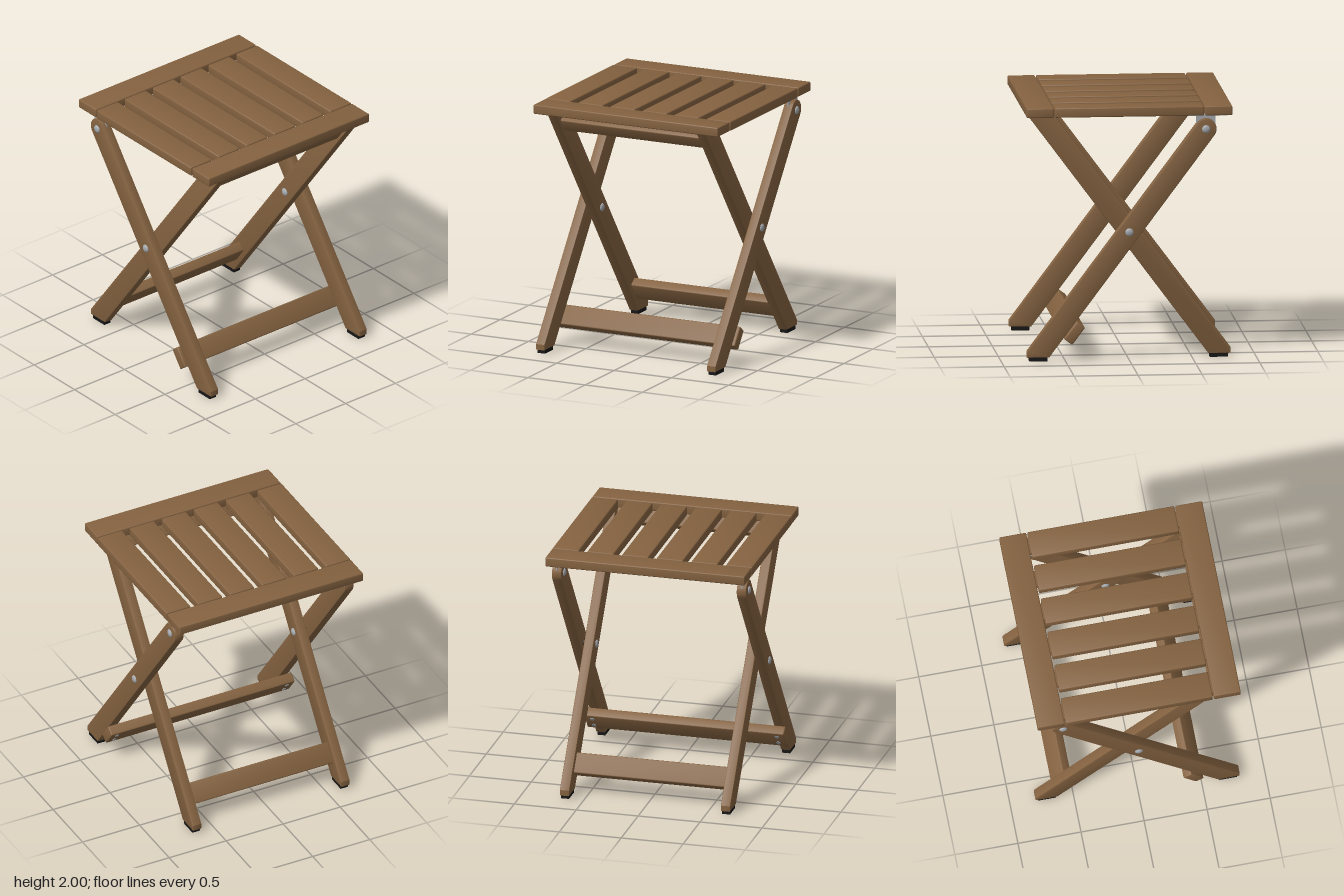
import * as THREE from 'three';
import { toCreasedNormals } from 'three/addons/utils/BufferGeometryUtils.js';
import { RoundedBoxGeometry } from 'three/addons/geometries/RoundedBoxGeometry.js';

const mat = (name, color) => {
  const m = new THREE.MeshStandardMaterial({ color });
  m.name = name;
  return m;
};

export function createModel() {
  const wood = mat('wood', 0x846240);
  const steel = mat('steel', 0xa4a9ae);
  const black = mat('black rubber', 0x161616);
  const model = new THREE.Group();
  model.name = 'foldingTable';

  const add = (name, geo, material, pos = [0, 0, 0], parent = model) => {
    const mesh = new THREE.Mesh(geo, material);
    mesh.name = name;
    mesh.position.set(...pos);
    parent.add(mesh);
    return mesh;
  };
  const board = (w, h, d) => toCreasedNormals(new RoundedBoxGeometry(w, h, d, 2, 0.009), 0.5);
  // Cylinder lying along x
  const rod = (r, len, sides = 20) => new THREE.CylinderGeometry(r, r, len, sides).rotateZ(Math.PI / 2);

  // Tabletop: an end slat at front and back, six slats between
  const topY = 1.9625, topH = 0.075;
  for (const s of [-1, 1]) {
    add(s > 0 ? 'frontSlat' : 'backSlat', board(1.61, topH, 0.212), wood, [0, topY, s * 0.698]);
  }
  for (let i = 0; i < 6; i++) {
    const x = -0.7 + i * 0.28;
    add('slat', board(0.212, topH, 1.164), wood, [x, topY, 0]);
    for (const s of [-1, 1]) add('slatTenon', new THREE.BoxGeometry(0.13, 0.04, 0.04), wood, [x, topY, s * 0.587]);
  }

  // Leg outlines, drawn as (z, y) and extruded along x
  const tilt = 0.64, bevel = 0.008, legW = 0.078;
  const legGeometry = (shape) => {
    const depth = legW - 2 * bevel;
    const g = new THREE.ExtrudeGeometry(shape, {
      depth, bevelSize: bevel, bevelThickness: bevel, bevelOffset: -bevel, bevelSegments: 2, curveSegments: 16,
    });
    return toCreasedNormals(g.translate(0, 0, -depth / 2).rotateY(-Math.PI / 2), 0.5);
  };
  const hinge = [1.815, -0.6], r = 0.083;
  const outer = new THREE.Shape();
  outer.moveTo(0.627, 0.03);
  outer.lineTo(0.8, 0.03);
  outer.lineTo(0.8, 0.075);
  outer.absarc(hinge[1], hinge[0], r, tilt, tilt + Math.PI, false);
  outer.closePath();
  const inner = new THREE.Shape([
    [-0.8, 0.03], [-0.627, 0.03], [0.785, 1.925], [0.579, 1.925], [-0.8, 0.075],
  ].map(([z, y]) => new THREE.Vector2(z, y)));
  const outerGeo = legGeometry(outer), innerGeo = legGeometry(inner);

  // Domed bolt head pointing along +x or -x
  const boltHead = (name, x, y, z, dir) => {
    const g = new THREE.SphereGeometry(0.032, 20, 6, 0, Math.PI * 2, 0, Math.PI / 2);
    g.scale(1, 0.5, 1).rotateZ(-dir * Math.PI / 2);
    add(name, g, steel, [x, y, z]);
  };

  const outerX = 0.746, innerX = 0.65, half = legW / 2;
  for (const s of [-1, 1]) {
    add('outerLeg', outerGeo, wood, [s * outerX, 0, 0]);
    add('innerLeg', innerGeo, wood, [s * innerX, 0, 0]);
    for (const [x, z] of [[outerX, 0.71], [innerX, -0.71]]) {
      add('footPad', new THREE.BoxGeometry(0.064, 0.034, 0.142), black, [s * x, 0.017, z]);
    }

    // Centre pivot and upper hinge bolts
    add('pivotSpacer', rod(0.034, 0.03), black, [s * 0.698, 1.01, 0]);
    boltHead('pivotBolt', s * (outerX + half), 1.01, 0, s);
    boltHead('pivotNut', s * (innerX - half), 1.01, 0, -s);
    boltHead('hingeBolt', s * (outerX + half), ...hinge, s);
    boltHead('hingeNut', s * (outerX - half), ...hinge, -s);

    // Bracket: plate screwed below the top, tab running down into the leg
    add('bracketPlate', new THREE.BoxGeometry(0.12, 0.01, 0.34), steel, [s * 0.692, 1.92, -0.6]);
    add('bracketTab', new THREE.BoxGeometry(0.01, 0.125, 0.15), steel, [s * 0.747, 1.86, -0.6]);
    for (const z of [-0.47, -0.73]) {
      add('bracketScrew', new THREE.CylinderGeometry(0.018, 0.018, 0.008, 12), steel, [s * 0.67, 1.912, z]);
    }
  }

  // Cross rails follow the slope of their legs
  const rail = (name, w, h, y, z, angle) => {
    const m = add(name, board(w, h, 0.08), wood, [0, y, z]);
    m.rotation.x = angle;
    return m;
  };
  rail('topRail', 1.24, 0.12, 1.848, 0.648, tilt);
  rail('backRail', 1.24, 0.168, 0.222, -0.585, tilt);
  const footrest = rail('footrest', 1.61, 0.168, 0.221, 0.43, -tilt);
  for (const x of [-0.745, 0.745]) {
    for (const y of [-0.042, 0.042]) {
      add('footrestScrew', new THREE.CylinderGeometry(0.017, 0.017, 0.006, 14).rotateX(Math.PI / 2),
        steel, [x, y, -0.041], footrest);
    }
  }

  // Latch under the middle slat
  add('latchPlate', new THREE.BoxGeometry(0.1, 0.01, 0.22), black, [-0.14, 1.92, 0.44]);
  const tongue = add('latchTongue', new THREE.BoxGeometry(0.06, 0.008, 0.14), black, [-0.14, 1.912, 0.51]);
  tongue.rotation.x = 0.06;
  for (const z of [0.35, 0.41]) {
    add('latchScrew', new THREE.CylinderGeometry(0.018, 0.018, 0.008, 14), steel, [-0.14, 1.913, z]);
  }

  return model;
}
